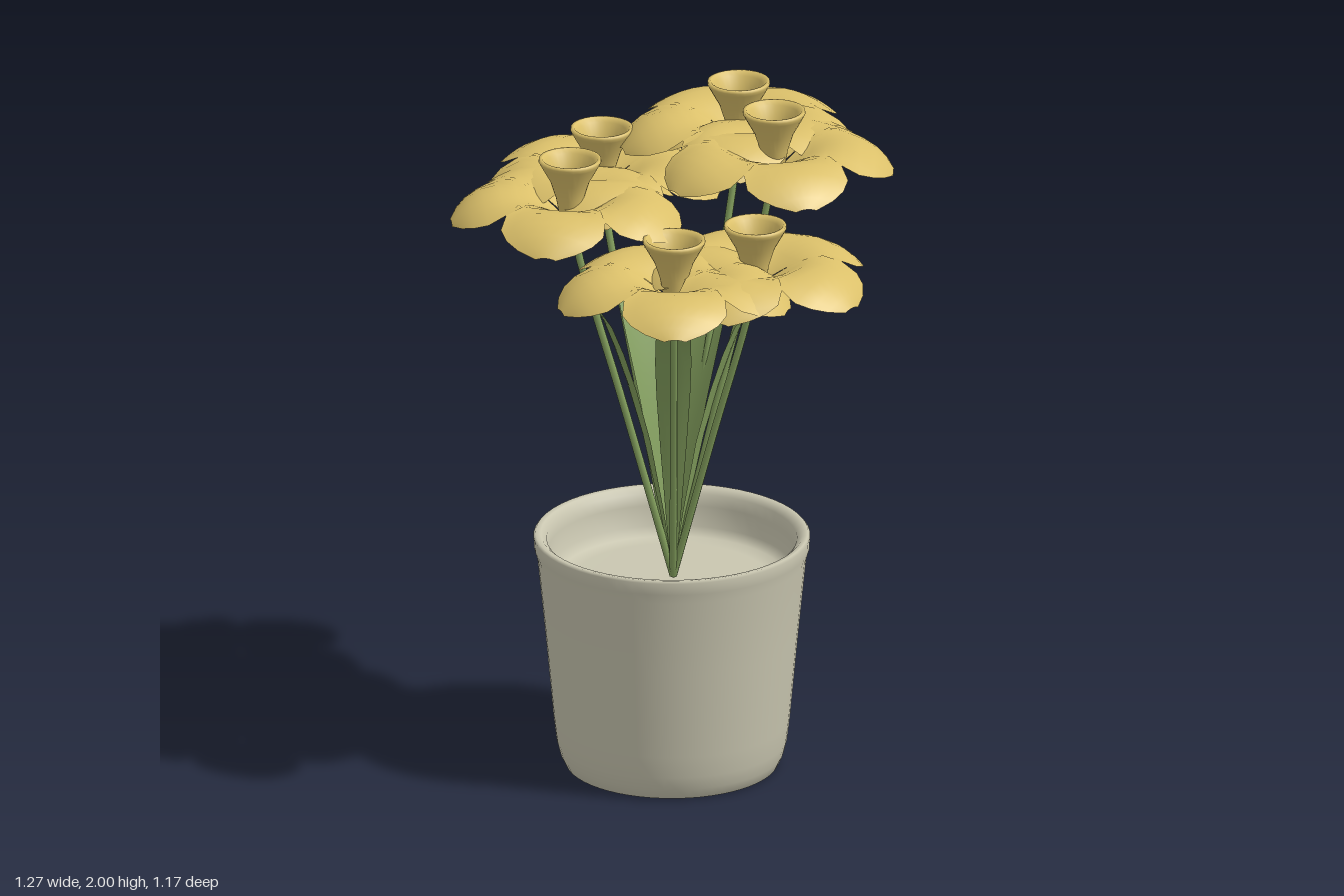
import * as THREE from 'three';

const petalYellow = new THREE.MeshStandardMaterial({ color: 0xdbc06a, side: THREE.DoubleSide });
petalYellow.name = 'petal yellow';
const leafGreen = new THREE.MeshStandardMaterial({ color: 0x84a05e, side: THREE.DoubleSide });
leafGreen.name = 'leaf green';
const potClay = new THREE.MeshStandardMaterial({ color: 0xc9c6b0 });
potClay.name = 'pot clay';

const PLANT = { x: 0, y: 0.57, z: 0.05 }; // where stems and leaves meet

function mesh(name, geometry, material) {
  const m = new THREE.Mesh(geometry, material);
  m.name = name;
  return m;
}

function lathe(points, segments) {
  return new THREE.LatheGeometry(points.map(([x, y]) => new THREE.Vector2(x, y)), segments);
}

// Blade running along +x: each row is [reach, height, halfWidth, edgeLift]
function blade(rows, across) {
  const pos = [], index = [];
  rows.forEach(([r, y, w, lift], i) => {
    for (let j = 0; j <= across; j++) {
      const v = (j / across) * 2 - 1;
      pos.push(r, y + lift * v * v, -w * v);
      if (i && j) {
        const b = i * (across + 1) + j, a = b - across - 1;
        index.push(a - 1, b - 1, a, a, b - 1, b);
      }
    }
  });
  const g = new THREE.BufferGeometry();
  g.setAttribute('position', new THREE.Float32BufferAttribute(pos, 3));
  g.setIndex(index);
  // keep the face winding turned upward
  g.computeVertexNormals();
  if (g.attributes.normal.getY(Math.floor(across / 2)) < 0) {
    for (let k = 0; k < index.length; k += 3) [index[k], index[k + 1]] = [index[k + 1], index[k]];
    g.setIndex(index);
    g.computeVertexNormals();
  }
  return g;
}

const petalGeometry = blade([
  [0.03, -0.165, 0.018, 0.0],
  [0.07, -0.145, 0.05, 0.012],
  [0.11, -0.122, 0.088, 0.014],
  [0.15, -0.104, 0.122, 0.006],
  [0.20, -0.096, 0.145, -0.016],
  [0.25, -0.104, 0.15, -0.034],
  [0.29, -0.125, 0.125, -0.03],
  [0.32, -0.15, 0.085, -0.02],
  [0.342, -0.178, 0.03, -0.006],
], 8);

// Trumpet, open at the bottom with a rounded lip
const trumpetGeometry = lathe([
  [0.03, -0.175], [0.04, -0.12], [0.056, -0.07], [0.085, -0.018], [0.09, -0.008], [0.089, 0],
  [0.08, 0], [0.07, -0.012], [0.055, -0.045], [0.038, -0.1], [0.028, -0.175],
], 28);

const leafGeometry = blade([
  [0.0, 0.0, 0.006, 0],
  [0.035, 0.2, 0.022, 0.004],
  [0.08, 0.42, 0.038, 0.01],
  [0.125, 0.58, 0.048, 0.014],
  [0.165, 0.7, 0.052, 0.014],
  [0.2, 0.79, 0.05, 0.01],
  [0.235, 0.85, 0.043, 0.004],
  [0.27, 0.878, 0.03, 0],
  [0.305, 0.882, 0.008, 0],
], 6);

function flower(x, top, z) {
  const group = new THREE.Group();
  group.name = 'flower';
  const head = new THREE.Group();
  head.name = 'flowerHead';
  head.position.set(x, top, z);
  // one petal always points away from the plant's middle
  head.rotation.y = -Math.atan2(z - PLANT.z, x - PLANT.x);
  for (let i = 0; i < 5; i++) {
    const petal = mesh('petal', petalGeometry, petalYellow);
    petal.rotation.y = (i * Math.PI * 2) / 5;
    head.add(petal);
  }
  head.add(mesh('trumpet', trumpetGeometry, petalYellow));
  const dx = x - PLANT.x, dz = z - PLANT.z, end = top - 0.17;
  const path = new THREE.CatmullRomCurve3([
    new THREE.Vector3(PLANT.x, PLANT.y, PLANT.z),
    new THREE.Vector3(PLANT.x + dx * 0.5, PLANT.y + (end - PLANT.y) * 0.49, PLANT.z + dz * 0.5),
    new THREE.Vector3(PLANT.x + dx * 0.9, PLANT.y + (end - PLANT.y) * 0.87, PLANT.z + dz * 0.9),
    new THREE.Vector3(x, end, z),
  ]);
  group.add(head, mesh('stem', new THREE.TubeGeometry(path, 16, 0.011, 8), leafGreen));
  return group;
}

export function createModel() {
  const model = new THREE.Group();
  model.name = 'pottedFlowers';

  // Pot with rounded foot, soft rim and shallow inner floor
  const pot = mesh('pot', lathe([
    [0, 0], [0.295, 0], [0.305, 0.003], [0.32, 0.035], [0.33, 0.075], [0.338, 0.14],
    [0.362, 0.4], [0.385, 0.63], [0.394, 0.66], [0.396, 0.695], [0.39, 0.702],
    [0.375, 0.7], [0.358, 0.685], [0.352, 0.65], [0.345, 0.59], [0.325, 0.565], [0.28, 0.56], [0, 0.56],
  ], 56), potClay);
  pot.position.set(-0.003, 0, PLANT.z + 0.003);
  model.add(pot);

  // Five arching leaves, the first toward the back
  for (let i = 0; i < 5; i++) {
    const leaf = mesh('leaf', leafGeometry, leafGreen);
    leaf.position.set(PLANT.x, PLANT.y, PLANT.z);
    leaf.rotation.y = Math.PI / 2 + (i * Math.PI * 2) / 5;
    model.add(leaf);
  }

  // Three pairs of flowers at three heights
  for (const [x, top, z] of [
    [0.02, 2, -0.24], [0.24, 2, -0.11],
    [-0.293, 1.86, -0.005], [-0.22, 1.86, 0.25],
    [0.17, 1.71, 0.28], [0.29, 1.71, 0.05],
  ]) model.add(flower(x, top, z));

  return model;
}
